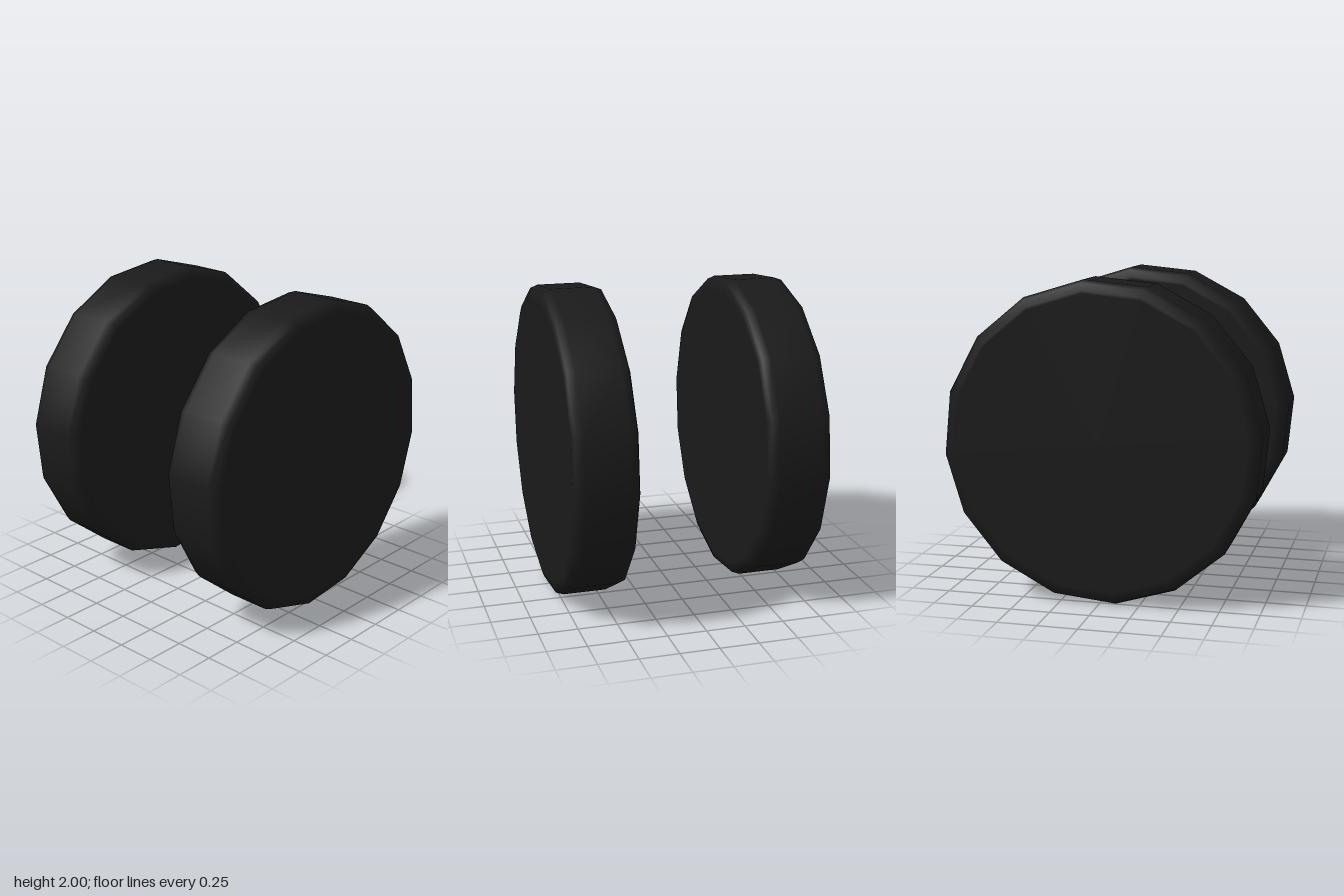
import * as THREE from 'three';

const SIDES = 16;
const RADIUS = 1.005;
const HALF_WIDTH = 0.202;
const CENTRE_X = 0.603;

// Solid disc with rounded shoulders, turned about the x axis
function wheelGeometry() {
  // [radius, distance from the mid-plane], from hub to tread
  const half = [
    [0, HALF_WIDTH],
    [RADIUS - 0.08, HALF_WIDTH],
    [RADIUS - 0.063, HALF_WIDTH],
    [RADIUS - 0.018, HALF_WIDTH - 0.015],
    [RADIUS, HALF_WIDTH - 0.063],
  ];
  const profile = [
    ...half.map(([r, y]) => new THREE.Vector2(r, -y)),
    ...half.slice().reverse().map(([r, y]) => new THREE.Vector2(r, y)),
  ];
  // Start a quarter of a side round so the tread polygon sits tilted
  const geometry = new THREE.LatheGeometry(profile, SIDES, Math.PI / SIDES / 2);
  return geometry.rotateZ(Math.PI / 2);
}

export function createModel() {
  const group = new THREE.Group();
  group.name = 'wheelPair';
  const rubber = new THREE.MeshStandardMaterial({ color: 0x1a1a1a });
  const geometry = wheelGeometry();

  // One wheel on each side
  for (const [name, side] of [['leftWheel', 1], ['rightWheel', -1]]) {
    const wheel = new THREE.Mesh(geometry, rubber);
    wheel.name = name;
    wheel.position.set(side * CENTRE_X, 1, 0);
    group.add(wheel);
  }
  return group;
}
